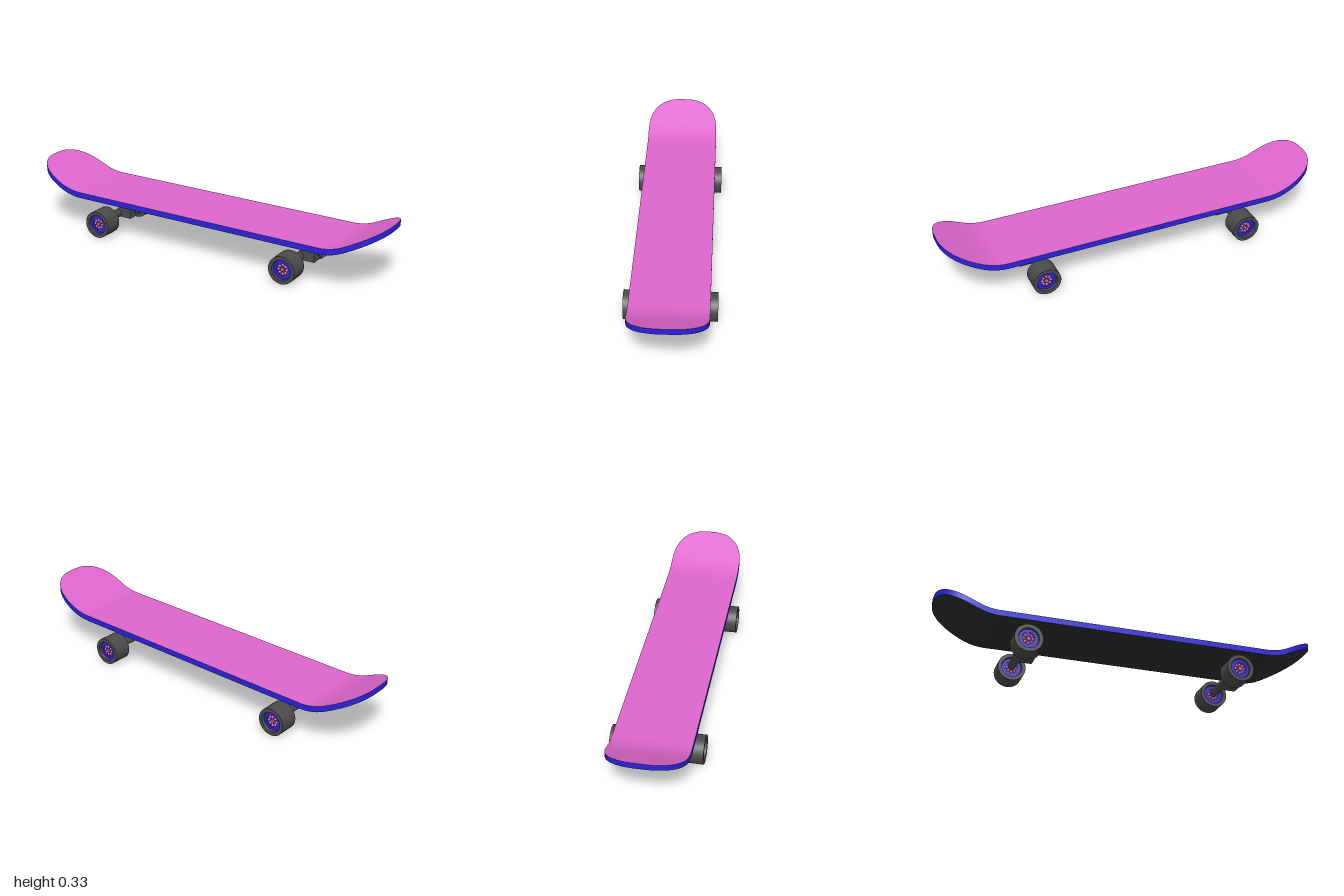
import * as THREE from 'three';

const mat = (color) => new THREE.MeshStandardMaterial({ color });
const PINK = mat(0xdd66cc), BLUE = mat(0x2a22dd), BLACK = mat(0x2c2c2c), DARK = mat(0x4a4a4a);

function add(parent, name, geometry, material, x = 0, y = 0, z = 0) {
  const mesh = new THREE.Mesh(geometry, material);
  mesh.name = name;
  mesh.position.set(x, y, z);
  parent.add(mesh);
  return mesh;
}

// Smooth surface through rows of points
function loft(rows, flip = false) {
  const n = rows[0].length, index = [];
  for (let i = 0; i < rows.length - 1; i++) {
    for (let j = 0; j < n - 1; j++) {
      const a = i * n + j, b = a + 1, c = a + n, d = c + 1;
      index.push(...(flip ? [a, c, b, b, c, d] : [a, b, c, b, d, c]));
    }
  }
  const g = new THREE.BufferGeometry();
  g.setAttribute('position', new THREE.Float32BufferAttribute(rows.flat(2), 3));
  g.setIndex(index);
  g.computeVertexNormals();
  return g;
}

// Height of the deck's top: flat, a soft bend, then a straight kick
function deckTop(x) {
  const s = 0.5, start = 0.7, end = 0.83, d = Math.abs(x);
  if (d < start) return 0.213;
  if (d < end) return 0.213 + s * (d - start) ** 2 / (2 * (end - start));
  return 0.213 + s * (d - (start + end) / 2);
}

function buildDeck() {
  const deck = new THREE.Group();
  deck.name = 'deck';
  const thick = 0.03, halfWidth = 0.19;

  // Half outline as [x, half width], ending in a squarish rounded tip
  const half = [0.35, 0.69, 0.71, 0.73, 0.75, 0.775].map((x) => [x, halfWidth]);
  for (let i = 0; i <= 16; i++) {
    const a = Math.PI / 2 + (0.1 - Math.PI / 2) * (i / 16);
    half.push([0.8 + 0.2 * Math.max(0, Math.cos(a)) ** 0.8, halfWidth * Math.sin(a) ** 0.8]);
  }
  const stations = [...half.map(([x, w]) => [-x, w]).reverse(), [0, halfWidth], ...half];

  const face = (drop) => stations.map(([x, w]) =>
    Array.from({ length: 9 }, (_, j) => [x, deckTop(x) - drop, w * (j / 4 - 1)]));
  add(deck, 'gripTop', loft(face(0)), PINK);
  add(deck, 'underside', loft(face(thick), true), BLACK);

  // Edge band all the way round
  const loop = [...stations, ...stations.map(([x, w]) => [x, -w]).reverse()];
  loop.push(loop[0]);
  add(deck, 'edgeBand', loft(loop.map(([x, z]) =>
    [[x, deckTop(x), z], [x, deckTop(x) - thick, z]])), BLUE);
  return deck;
}

// Lathe turned so that its axis runs along z
function turned(points, segments = 32) {
  return new THREE.LatheGeometry(points.map(([r, z]) => new THREE.Vector2(r, z)), segments)
    .rotateX(Math.PI / 2);
}

function buildWheel() {
  const wheel = new THREE.Group();
  wheel.name = 'wheel';
  const h = 0.049, R = 0.071;
  // Corner points are doubled to keep the edges crisp
  add(wheel, 'tyre', turned([
    [0.049, -h + 0.012], [0.052, -h], [0.052, -h], [R, -h], [R, -h],
    [R, h], [R, h], [0.052, h], [0.052, h], [0.049, h - 0.012],
  ]), DARK);
  add(wheel, 'core', turned([
    [0.033, -h + 0.02], [0.033, -h + 0.012], [0.033, -h + 0.012], [0.05, -h + 0.012],
    [0.05, -h + 0.012], [0.05, h - 0.012], [0.05, h - 0.012], [0.033, h - 0.012],
    [0.033, h - 0.012], [0.033, h - 0.02],
  ]), BLUE);
  add(wheel, 'bearing', new THREE.CylinderGeometry(0.034, 0.034, 2 * h - 0.032, 24)
    .rotateX(Math.PI / 2), DARK);
  // Bearing balls and axle nut on both faces
  for (const s of [-1, 1]) {
    const z = s * (h - 0.016);
    for (let i = 0; i < 8; i++) {
      const a = (i / 8) * Math.PI * 2;
      add(wheel, 'bearingBall', new THREE.SphereGeometry(0.0075, 10, 8), PINK,
        0.022 * Math.cos(a), 0.022 * Math.sin(a), z);
    }
    add(wheel, 'axleNut', new THREE.CylinderGeometry(0.01, 0.01, 0.012, 6)
      .rotateX(Math.PI / 2), PINK, 0, 0, z);
  }
  return wheel;
}

function buildTruck() {
  const truck = new THREE.Group();
  truck.name = 'truck';
  add(truck, 'mountBlock', new THREE.BoxGeometry(0.076, 0.13, 0.082), DARK, 0.042, 0.125, 0);
  add(truck, 'hanger', turned([
    [0, -0.14], [0.018, -0.14], [0.0195, -0.1], [0.0225, -0.04],
    [0.0225, 0.04], [0.0195, 0.1], [0.018, 0.14], [0, 0.14],
  ], 20), DARK, 0, 0.077, 0);

  // Pivot bolt with a flattened head
  const bolt = new THREE.CylinderGeometry(0.006, 0.006, 0.025, 12).rotateZ(Math.PI / 2);
  add(truck, 'pivotBolt', bolt, DARK, 0.086, 0.092, 0);
  const head = new THREE.CapsuleGeometry(0.0095, 0.011, 6, 14).rotateX(Math.PI / 2).scale(0.6, 1, 1);
  add(truck, 'boltHead', head, DARK, 0.094, 0.092, 0);

  for (const s of [-1, 1]) {
    const wheel = buildWheel();
    wheel.position.set(0, 0.071, s * 0.177);
    truck.add(wheel);
  }
  return truck;
}

export function createModel() {
  const model = new THREE.Group();
  model.name = 'skateboard';
  model.add(buildDeck());
  for (const x of [-0.565, 0.528]) {
    const truck = buildTruck();
    truck.position.x = x;
    model.add(truck);
  }
  return model;
}
